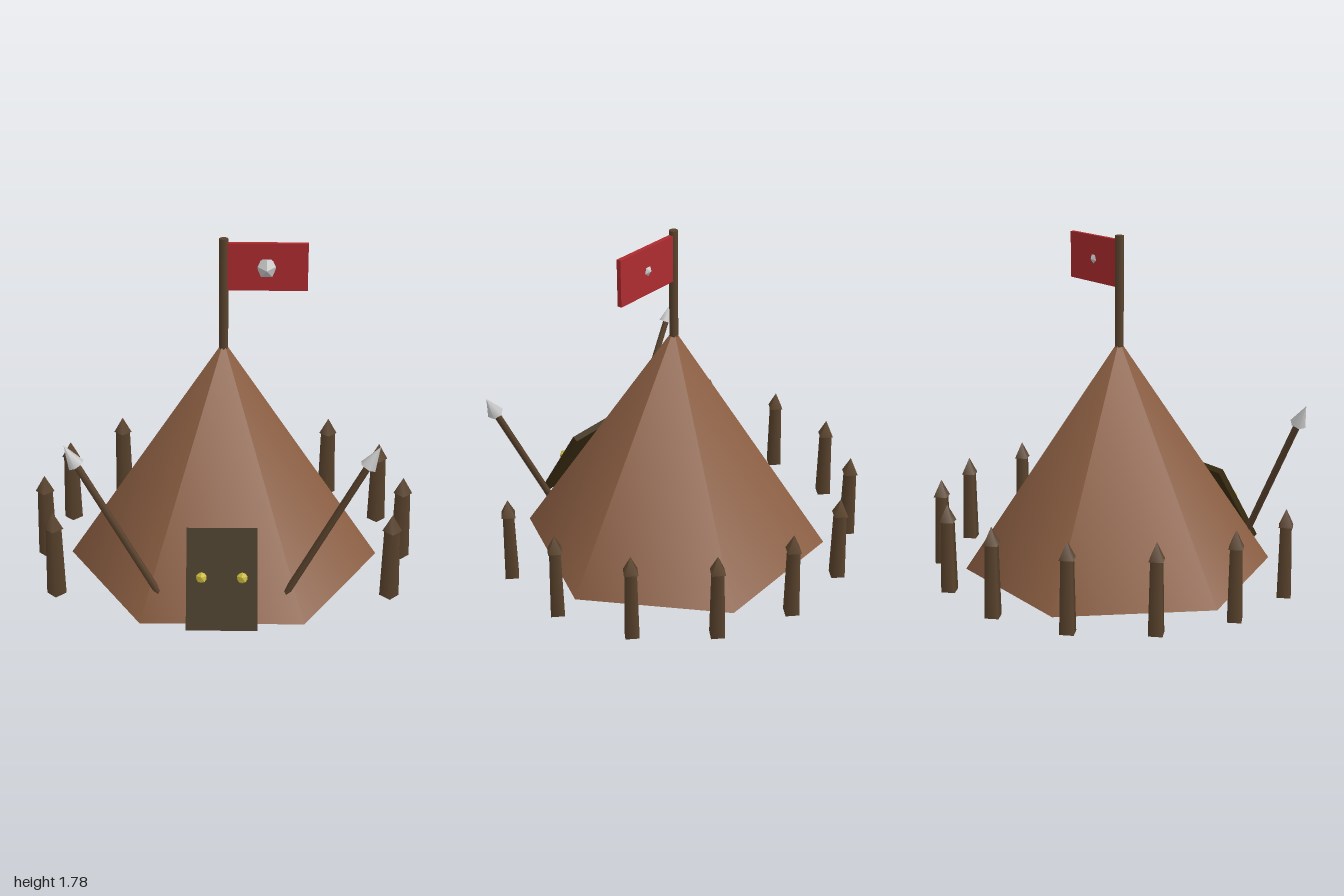
import * as THREE from 'three';

const CZ = 0.07; // centre of the tent along z

function mat(name, color) {
  const m = new THREE.MeshStandardMaterial({ color });
  m.name = name;
  return m;
}

export function createModel() {
  const root = new THREE.Group();
  root.name = 'tentCamp';

  const hide = mat('tent hide', 0x8b5e42);
  const wood = mat('dark wood', 0x5a432d);
  const door = mat('door wood', 0x3b2d12);
  const cloth = mat('red cloth', 0xae2b2f);
  const steel = mat('steel', 0xc8c8c8);
  const brass = mat('brass', 0xc8b83c);

  const add = (parent, name, geo, material, x = 0, y = 0, z = 0) => {
    const mesh = new THREE.Mesh(geo, material);
    mesh.name = name;
    mesh.position.set(x, y, z);
    parent.add(mesh);
    return mesh;
  };

  // faceted ball with one corner pointing along +z
  const stud = (r) => new THREE.IcosahedronGeometry(r, 0).rotateX(-Math.atan(2 / (1 + Math.sqrt(5))));

  // six-sided tent, corners on the x axis
  const tentH = 1.23;
  add(root, 'tent', new THREE.ConeGeometry(0.82, tentH, 6).rotateY(Math.PI / 6), hide, 0, 0.008 + tentH / 2, CZ);

  // flagpole, flag and its stud
  add(root, 'flagpole', new THREE.CylinderGeometry(0.023, 0.023, 0.68, 8), wood, 0, 1.44, CZ);
  add(root, 'flag', new THREE.BoxGeometry(0.405, 0.245, 0.024), cloth, 0.217, 1.635, CZ);
  add(root, 'flagStud', stud(0.053), steel, 0.213, 1.635, 0.095);

  // leaning door with two knobs
  const doorGroup = new THREE.Group();
  doorGroup.name = 'door';
  doorGroup.position.set(0, 0.253, 0.76);
  doorGroup.rotation.x = -0.55;
  root.add(doorGroup);
  add(doorGroup, 'doorPanel', new THREE.BoxGeometry(0.35, 0.5, 0.033), door);
  for (const s of [-1, 1]) add(doorGroup, 'doorKnob', stud(0.03), brass, s * 0.1, 0.006, 0.033);

  // ring of stakes, left open at the front
  const bodyGeo = new THREE.CylinderGeometry(0.04, 0.05, 0.375, 4);
  const tipGeo = new THREE.ConeGeometry(0.05, 0.09, 4);
  for (let i = 2; i < 12; i++) {
    const a = ((i + 0.5) / 14) * Math.PI * 2;
    const stake = new THREE.Group();
    stake.name = 'stake';
    stake.position.set(0.95 * Math.sin(a), 0, CZ + 0.95 * Math.cos(a));
    add(stake, 'stakeBody', bodyGeo, wood, 0, 0.1875, 0);
    add(stake, 'stakeTip', tipGeo, wood, 0, 0.42, 0);
    root.add(stake);
  }

  // pair of spears stuck into the tent front
  for (const s of [-1, 1]) {
    const spear = new THREE.Group();
    spear.name = s > 0 ? 'leftSpear' : 'rightSpear';
    spear.position.set(s * 0.757, 0.945, 0.69);
    spear.rotation.z = -s * 0.495;
    add(spear, 'spearHead', new THREE.ConeGeometry(0.043, 0.12, 6), steel, 0, -0.06, 0);
    add(spear, 'spearShaft', new THREE.CylinderGeometry(0.018, 0.018, 0.88, 6), wood, 0, -0.55, 0);
    root.add(spear);
  }

  return root;
}
